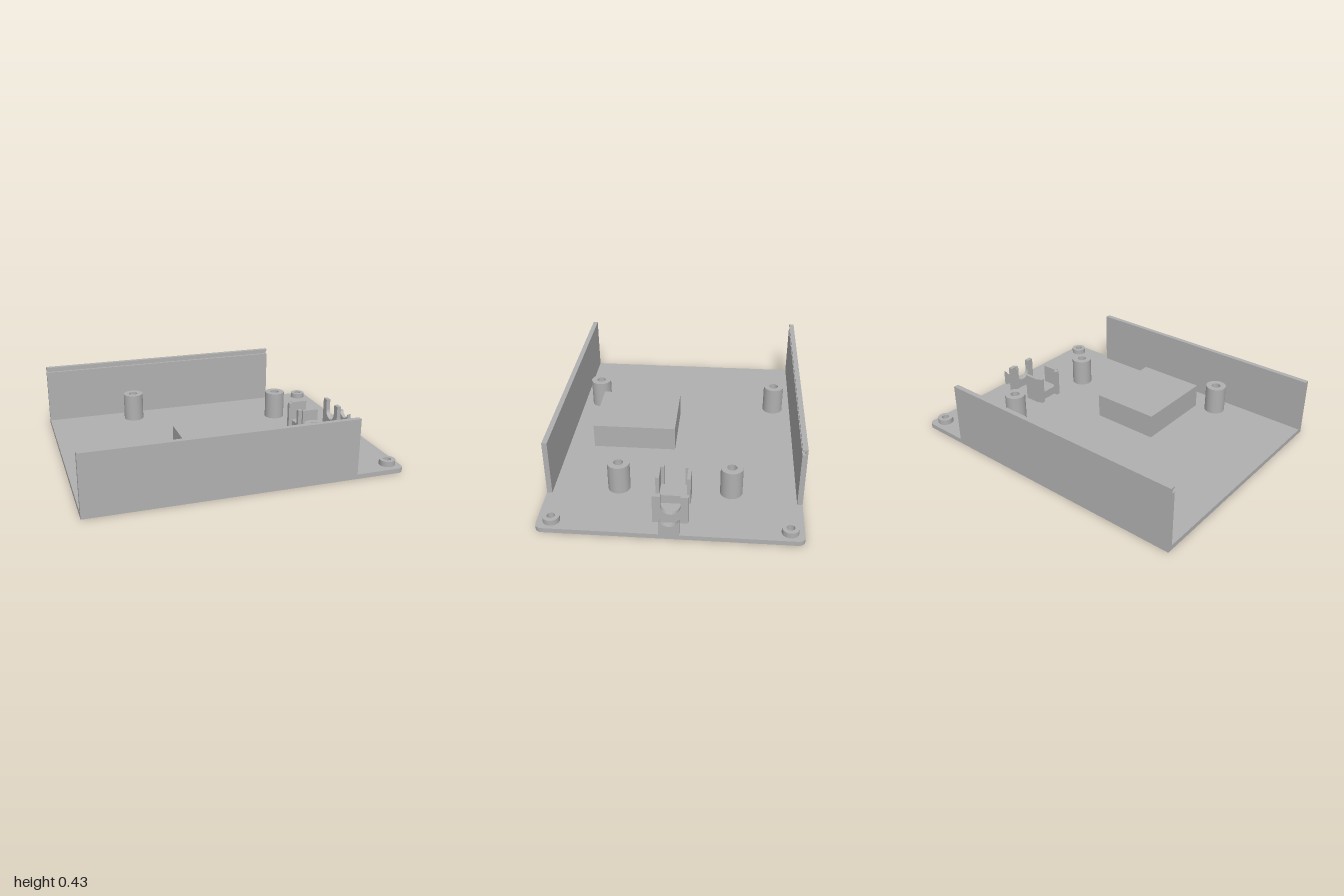
import * as THREE from 'three';
import { toCreasedNormals } from 'three/addons/utils/BufferGeometryUtils.js';

const grey = new THREE.MeshStandardMaterial({ color: 0xb0b0b0 });
grey.name = 'grey plastic';

export function createModel() {
  const model = new THREE.Group();
  model.name = 'enclosureBase';

  const add = (name, geometry) => {
    const mesh = new THREE.Mesh(toCreasedNormals(geometry, 0.6), grey);
    mesh.name = name;
    model.add(mesh);
    return mesh;
  };
  const box = (name, x0, x1, y0, y1, z0, z1) =>
    add(name, new THREE.BoxGeometry(x1 - x0, y1 - y0, z1 - z0)
      .translate((x0 + x1) / 2, (y0 + y1) / 2, (z0 + z1) / 2));
  // Plan outline (x, -z) raised from y0 to y1
  const extrudeUp = (name, shape, y0, y1) =>
    add(name, new THREE.ExtrudeGeometry(shape, { depth: y1 - y0, bevelEnabled: false, curveSegments: 24 })
      .rotateX(-Math.PI / 2).translate(0, y0, 0));
  // Side profile (z, y) swept from x0 to x1
  const extrudeAlong = (name, shape, x0, x1) =>
    add(name, new THREE.ExtrudeGeometry(shape, { depth: x1 - x0, bevelEnabled: false, curveSegments: 24 })
      .rotateY(-Math.PI / 2).translate(x1, 0, 0));
  const polygon = (points) => new THREE.Shape(points.map(([a, b]) => new THREE.Vector2(a, b)));
  const rectangle = (x0, x1, z0, z1) => polygon([[x0, -z1], [x1, -z1], [x1, -z0], [x0, -z0]]);

  const floor = 0.03, depth = 0.77;
  const cavity = () => rectangle(-0.265, 0.14, 0.066, 0.345);

  // Screw posts: x, z, outer radius, bore, counterbore, counterbore depth, height
  const posts = [
    [-0.41, -0.617, 0.068, 0.03, 0.046, 0.15, 0.215],
    [-0.41, 0.615, 0.068, 0.03, 0.046, 0.15, 0.215],
    [0.585, -0.345, 0.068, 0.03, 0.046, 0.15, 0.215],
    [0.585, 0.34, 0.068, 0.03, 0.046, 0.15, 0.215],
    [0.925, -0.687, 0.05, 0.024, 0.034, 0.035, 0.065],
    [0.925, 0.685, 0.05, 0.024, 0.034, 0.035, 0.065],
  ];

  // Floor plate, rounded at the open end
  const r = 0.04;
  const plate = new THREE.Shape();
  plate.moveTo(-1, -depth);
  plate.lineTo(1 - r, -depth);
  plate.absarc(1 - r, -depth + r, r, -Math.PI / 2, 0);
  plate.lineTo(1, depth - r);
  plate.absarc(1 - r, depth - r, r, 0, Math.PI / 2);
  plate.lineTo(-1, depth);
  plate.closePath();
  plate.holes.push(cavity());
  for (const [x, z, , , counter] of posts) {
    plate.holes.push(new THREE.Path().absarc(x, -z, counter, 0, Math.PI * 2));
  }
  extrudeUp('floorPlate', plate, 0, floor);

  // Hollow posts with a wider screw recess underneath
  posts.forEach(([x, z, outer, bore, counter, recess, height]) => {
    const profile = [[outer, floor], [outer, height], [bore, height], [bore, recess], [counter, recess], [counter, floor]]
      .map(([a, b]) => new THREE.Vector2(a, b));
    add(height > 0.1 ? 'screwPost' : 'cornerBoss', new THREE.LatheGeometry(profile, 40).translate(x, 0, z));
  });

  // Side walls: a plain one, and one with a hooked groove along the top
  box('plainWall', -1, 0.675, 0, 0.39, 0.738, depth);
  extrudeAlong('groovedWall', polygon([
    [-depth, 0], [-0.738, 0], [-0.738, 0.39], [-0.757, 0.39],
    [-0.757, 0.413], [-0.738, 0.413], [-0.738, 0.425], [-depth, 0.425],
  ]), -1, 0.675);

  // Raised block with a recess open underneath
  const frame = rectangle(-0.285, 0.16, 0.035, 0.57);
  frame.holes.push(cavity());
  extrudeUp('blockSides', frame, floor, 0.12);
  box('blockTop', -0.285, 0.16, 0.12, 0.19, 0.035, 0.57);

  // Connector holder: low seat, two cheeks and rear prongs
  box('holderSeat', 0.61, 0.72, floor, 0.088, -0.085, 0.08);
  box('holderCheek', 0.61, 0.72, floor, 0.215, -0.107, -0.085);
  box('holderCheek', 0.61, 0.72, floor, 0.215, 0.08, 0.102);
  for (const z of [-0.082, 0.072]) box('holderProng', 0.583, 0.61, floor, 0.215, z - 0.014, z + 0.014);

  // Cable cradles with a round notch
  const cradle = (name, x0, x1, half, top) => {
    const c = -0.002, radius = 0.058, centre = 0.147;
    const angle = top < centre ? Math.asin((centre - top) / radius) : 0;
    const s = new THREE.Shape();
    s.moveTo(c - half, floor);
    s.lineTo(c + half, floor);
    s.lineTo(c + half, top);
    s.lineTo(c + radius * Math.cos(angle), top);
    s.absarc(c, centre, radius, -angle, Math.PI + angle, true);
    s.lineTo(c - radius * Math.cos(angle), top);
    s.lineTo(c - half, top);
    s.closePath();
    extrudeAlong(name, s, x0, x1);
  };
  cradle('tallCradle', 0.867, 0.895, 0.105, 0.215);
  cradle('endCradle', 0.975, 1, 0.059, 0.132);

  return model;
}
